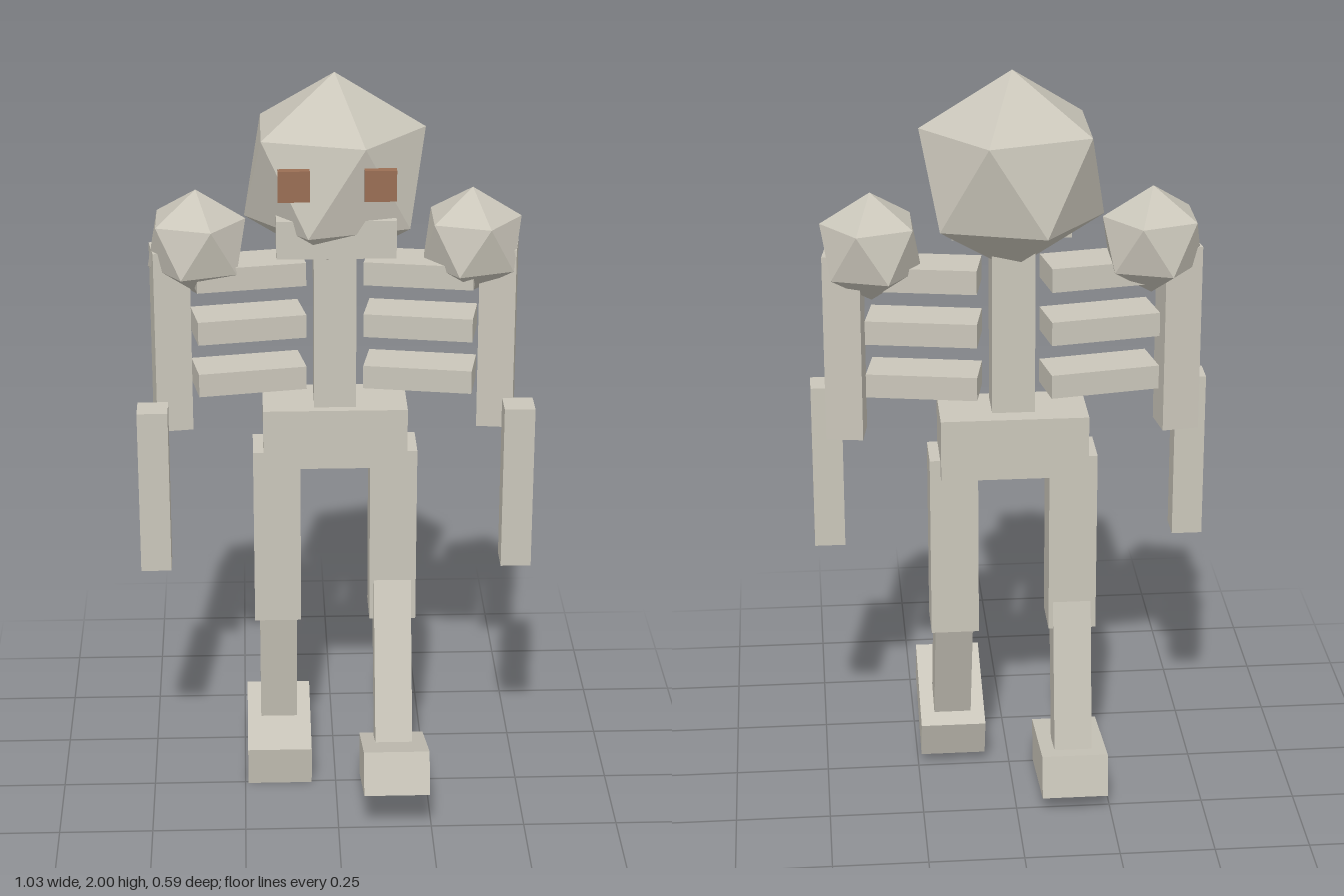
import * as THREE from 'three';

export function createModel() {
  const model = new THREE.Group();
  const bone = new THREE.MeshStandardMaterial({ name: 'bone', color: 0xcac6ba, flatShading: true });
  const rust = new THREE.MeshStandardMaterial({ name: 'rust', color: 0x9a6e54, flatShading: true });

  const add = (name, geometry, position, parent = model, material = bone) => {
    const mesh = new THREE.Mesh(geometry, material);
    mesh.name = name;
    mesh.position.set(...position);
    parent.add(mesh);
    return mesh;
  };
  const box = (name, size, position, parent, material) =>
    add(name, new THREE.BoxGeometry(...size), position, parent, material);

  // Icosahedron standing on a corner
  const knob = (name, radii, position) => {
    const geometry = new THREE.IcosahedronGeometry(1, 0);
    geometry.rotateZ(-Math.atan(2 / (1 + Math.sqrt(5))));
    geometry.scale(...radii);
    return add(name, geometry, position);
  };

  // Head and trunk
  knob('head', [0.26, 0.26, 0.235], [0, 1.74, -0.092]);
  box('jaw', [0.304, 0.1, 0.16], [0, 1.61, -0.008]);
  box('spine', [0.11, 0.45, 0.11], [0, 1.32, -0.09]);
  box('pelvis', [0.38, 0.165, 0.185], [0, 1.028, -0.102]);

  for (const side of [1, -1]) {
    const label = side > 0 ? 'left' : 'right';
    box(label + 'Eye', [0.08, 0.08, 0.022], [side * 0.108, 1.77, 0.121], model, rust);

    // Ribs, outer ends swung forward
    for (const y of [1.475, 1.332, 1.188]) {
      box(label + 'Rib', [0.285, 0.063, 0.123], [side * 0.225, y, -0.088])
        .rotation.y = -side * 0.173;
    }

    // Arm
    knob(label + 'Shoulder', [0.142, 0.142, 0.142], [side * 0.356, 1.552, -0.093]);
    box(label + 'UpperArm', [0.095, 0.494, 0.095], [side * 0.427, 1.293, -0.09])
      .rotation.y = -side * 0.14;
    box(label + 'Forearm', [0.08, 0.45, 0.08], [side * 0.477, 0.915, 0.027]);

    // Leg: the lower part swings at the knee, left forward and right back
    box(label + 'Thigh', [0.125, 0.495, 0.128], [side * 0.155, 0.738, -0.09]);
    const lowerLeg = new THREE.Group();
    lowerLeg.name = label + 'LowerLeg';
    lowerLeg.position.set(side * 0.154, 0.63, -0.09);
    lowerLeg.rotation.x = side > 0 ? -0.34 : 0.17;
    model.add(lowerLeg);
    box(label + 'Shin', [0.1, 0.5, 0.105], [0, -0.25, 0], lowerLeg);
    box(label + 'Foot', [0.175, 0.117, 0.304], [0, -0.544, 0.05], lowerLeg);
  }
  return model;
}
